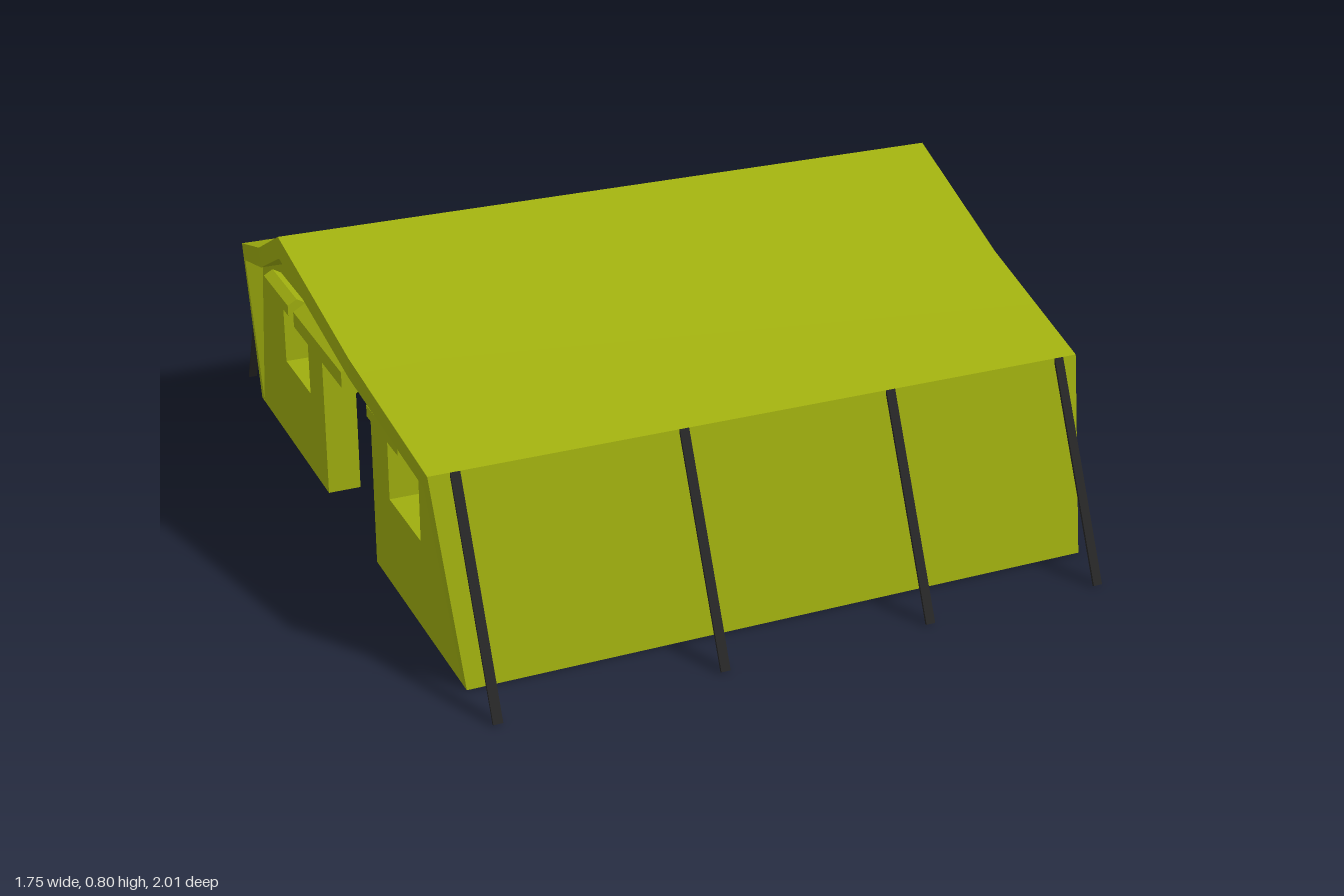
import * as THREE from 'three';

const canvas = new THREE.MeshStandardMaterial({ color: 0x9fae0f, side: THREE.DoubleSide });
const dark = new THREE.MeshStandardMaterial({ color: 0x0d0d0d, side: THREE.DoubleSide });
const rope = new THREE.MeshStandardMaterial({ color: 0x262626 });

const CLOSED = 0.867, WALL = -0.73;
// half cross-section, ground to ridge: z, y, x of the open edge
const outer = [[0.84, 0, -0.73], [0.76, 0.5, -0.778], [0.38, 0.63, -0.828], [0, 0.8, -0.876]];
const inner = [[0.815, 0, -0.73], [0.735, 0.46, -0.778], [0.37, 0.58, -0.828], [0, 0.745, -0.876]];

function add(group, name, geometry, material) {
  const mesh = new THREE.Mesh(geometry, material);
  mesh.name = name;
  group.add(mesh);
  return mesh;
}

// sheet between two equally long rows of points
function sheet(a, b) {
  const n = a.length, index = [];
  for (let i = 0; i < n - 1; i++) index.push(i, i + 1, n + i, i + 1, n + i + 1, n + i);
  const g = new THREE.BufferGeometry();
  g.setAttribute('position', new THREE.Float32BufferAttribute([...a, ...b].flat(), 3));
  g.setIndex(index);
  g.computeVertexNormals();
  return g;
}

// flat panel drawn in (z, y), standing at a given x and facing +x
function panel(shape, x) {
  return new THREE.ShapeGeometry(shape).rotateY(-Math.PI / 2).translate(x, 0, 0);
}

function gable(profile) {
  const right = profile.map(([z, y]) => new THREE.Vector2(z, y));
  const left = profile.slice(0, -1).reverse().map(([z, y]) => new THREE.Vector2(-z, y));
  return new THREE.Shape([...right, ...left]);
}

function rectPath(z0, z1, y0, y1) {
  return new THREE.Path([[z0, y0], [z0, y1], [z1, y1], [z1, y0]].map(p => new THREE.Vector2(...p)));
}

export function createModel() {
  const tent = new THREE.Group();
  tent.name = 'tent';

  // roof slopes, side walls and the hem around the open edge
  for (const s of [1, -1]) {
    const edge = (p) => p.map(([z, y, x]) => [x, y, s * z]);
    const at = (p, x) => p.map(([z, y]) => [x, y, s * z]);
    const side = outer.slice(0, 2), roof = outer.slice(1);
    add(tent, 'sideWall', sheet(edge(side), at(side, CLOSED)), canvas);
    add(tent, 'roofSlope', sheet(edge(roof), at(roof, CLOSED)), canvas);
    for (let i = 0; i < 3; i++) {
      const o = outer.slice(i, i + 2), n = inner.slice(i, i + 2);
      add(tent, 'edgeHem', sheet(edge(o), edge(n)), canvas);
      add(tent, 'edgeLining', sheet(edge(n), at(n, WALL)), canvas);
    }
  }

  // closed end
  add(tent, 'closedEnd', panel(gable(outer), CLOSED), canvas);

  // entrance end with a door and two windows: z0, z1, y0, y1
  const openings = [
    ['door', -0.2, 0.2, 0, 0.47, 0.04],
    ['window', -0.55, -0.325, 0.23, 0.45, 0.028],
    ['window', 0.325, 0.55, 0.23, 0.45, 0.028],
  ];
  const front = gable(outer);
  // the door reaches the ground, so its outline joins the wall outline
  const wallPoints = [...front.getPoints(), ...[[-0.2, 0], [-0.2, 0.47], [0.2, 0.47], [0.2, 0]]
    .map(p => new THREE.Vector2(...p))];
  const wall = new THREE.Shape(wallPoints);
  for (const [name, z0, z1, y0, y1] of openings)
    if (name === 'window') wall.holes.push(rectPath(z0, z1, y0, y1));
  add(tent, 'entranceWall', panel(wall, WALL), canvas);

  for (const [name, z0, z1, y0, y1, r] of openings) {
    // reveal running inward from the opening
    const loop = [[z0, y0], [z0, y1], [z1, y1], [z1, y0]];
    if (name === 'window') loop.push([z0, y0]);
    for (let i = 0; i < loop.length - 1; i++) {
      const row = (x) => [loop[i], loop[i + 1]].map(([z, y]) => [x, y, z]);
      add(tent, name + 'Reveal', sheet(row(WALL), row(WALL + 0.085)), canvas);
    }
    // rolled-up flap above the opening
    const roll = new THREE.CylinderGeometry(r, r, z1 - z0, 6).toNonIndexed();
    roll.rotateX(Math.PI / 2).translate(WALL - r * 0.8, y1 + r * 0.7, (z0 + z1) / 2);
    roll.computeVertexNormals();
    add(tent, name + 'Roll', roll, canvas);
  }

  // dark inner room: two sides and a partition
  const room = [[WALL + 0.01, 0.755], [0.18, 0.755], [0.18, -0.755], [WALL + 0.01, -0.755]];
  for (let i = 0; i < 3; i++) {
    const row = (y) => [room[i], room[i + 1]].map(([x, z]) => [x, y, z]);
    add(tent, 'innerRoomWall', sheet(row(0), row(0.495)), dark);
  }

  // guy ropes as flat straps from the eaves to the ground
  const drop = 0.5, reach = 0.235;
  for (const s of [1, -1]) for (const x of [-0.715, -0.17, 0.358, 0.818]) {
    const strap = add(tent, 'guyRope',
      new THREE.BoxGeometry(0.023, Math.hypot(drop, reach), 0.006), rope);
    strap.position.set(x, drop / 2, s * (0.76 + reach / 2));
    strap.rotation.x = -s * Math.atan2(reach, drop);
  }

  // the tent stands very slightly turned
  tent.rotation.y = 0.008;
  const model = new THREE.Group();
  model.name = 'tentModel';
  model.add(tent);
  return model;
}
